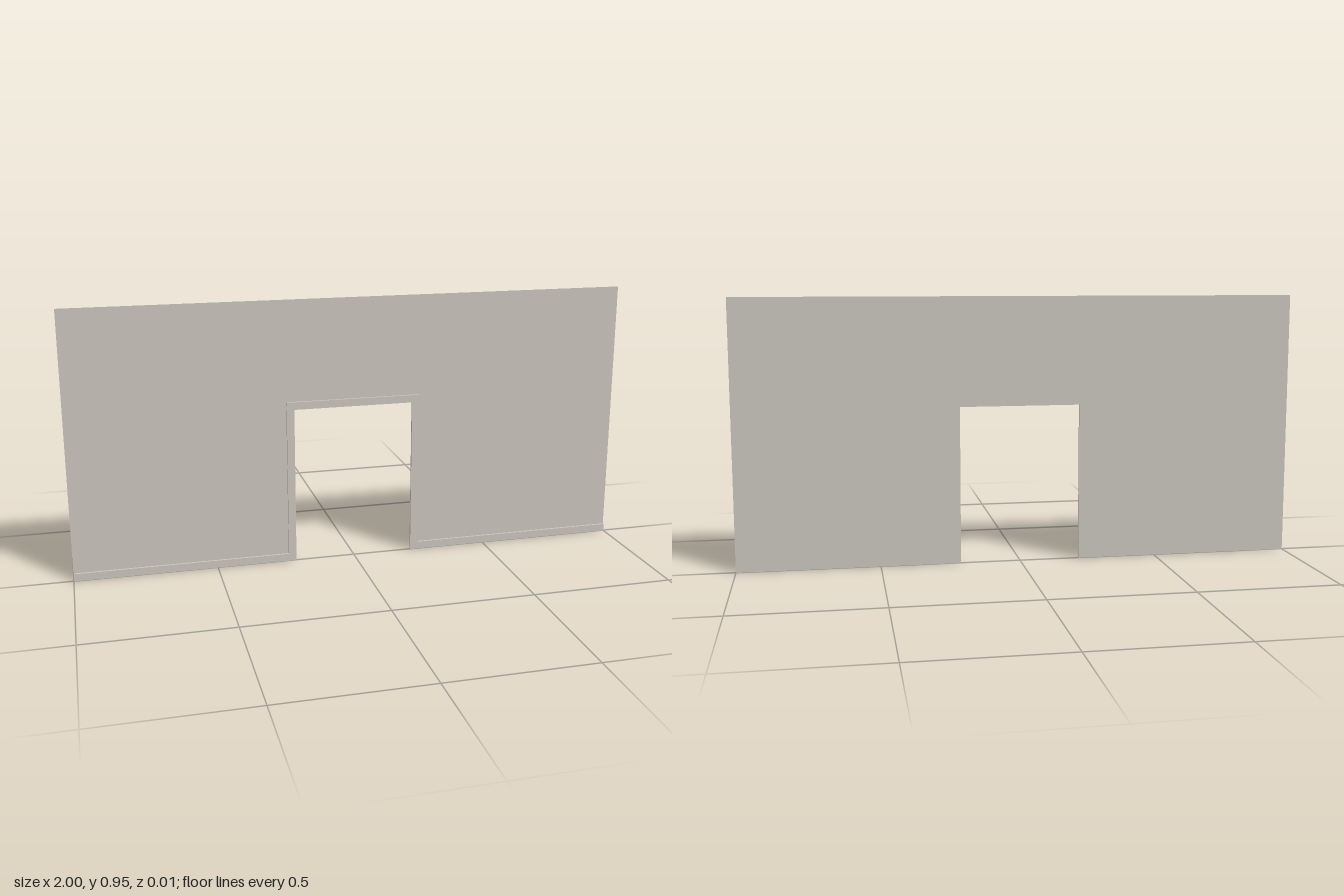
import * as THREE from 'three';

const HALF = 1, HEIGHT = 0.95;         // wall
const DOOR = 0.215, DOOR_TOP = 0.563;  // clear opening
const TRIM = 0.027, DEPTH = 0.008;     // trim width and thickness

const shapeFrom = (points) => new THREE.Shape(points.map(([x, y]) => new THREE.Vector2(x, y)));

export function createModel() {
  const group = new THREE.Group();
  const plaster = new THREE.MeshStandardMaterial({ color: 0xcbc7be, side: THREE.DoubleSide });
  plaster.name = 'warm grey plaster';

  const add = (name, geometry) => {
    const mesh = new THREE.Mesh(geometry, plaster);
    mesh.name = name;
    mesh.position.z = -DEPTH / 2;
    group.add(mesh);
  };

  const outer = DOOR + TRIM, outerTop = DOOR_TOP + TRIM;

  // Paper-thin wall sheet, ending where the trim begins
  add('wall', new THREE.ShapeGeometry(shapeFrom([
    [-HALF, TRIM], [-outer, TRIM], [-outer, outerTop], [outer, outerTop],
    [outer, TRIM], [HALF, TRIM], [HALF, HEIGHT], [-HALF, HEIGHT],
  ])));

  // Continuous skirting and doorway casing, raised towards the front
  add('skirtingAndDoorTrim', new THREE.ExtrudeGeometry(shapeFrom([
    [-HALF, 0], [-DOOR, 0], [-DOOR, DOOR_TOP], [DOOR, DOOR_TOP], [DOOR, 0], [HALF, 0],
    [HALF, TRIM], [outer, TRIM], [outer, outerTop], [-outer, outerTop], [-outer, TRIM], [-HALF, TRIM],
  ]), { depth: DEPTH, bevelEnabled: false }));

  return group;
}
